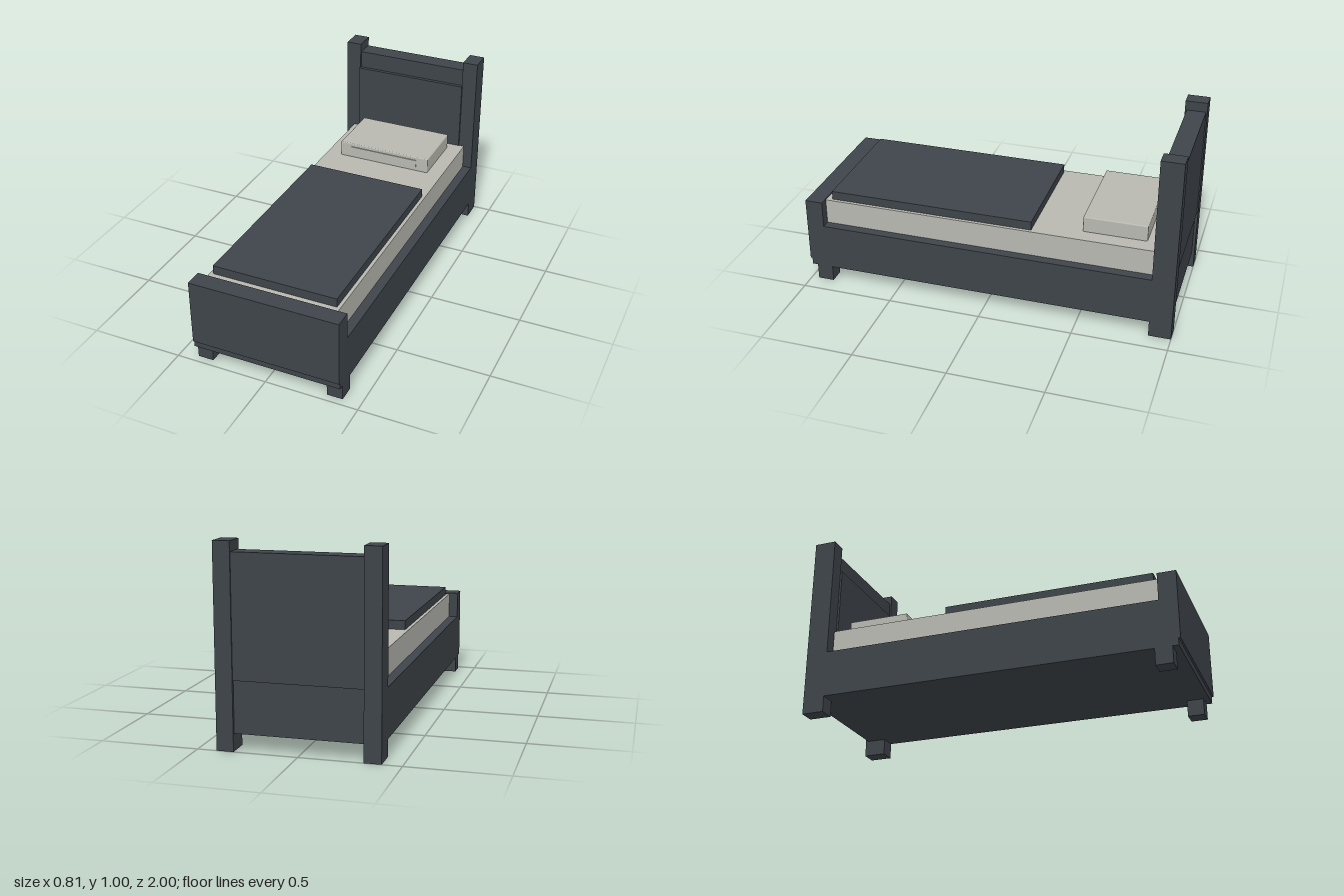
import * as THREE from 'three';
import { RoundedBoxGeometry } from 'three/addons/geometries/RoundedBoxGeometry.js';

export function createModel() {
  const bed = new THREE.Group();
  bed.name = 'bed';

  const darkWood = new THREE.MeshStandardMaterial({ color: 0x3e444a });
  darkWood.name = 'dark slate';
  const linen = new THREE.MeshStandardMaterial({ color: 0xb8b8b1 });
  linen.name = 'pale linen';

  const add = (name, geometry, material, x, y, z) => {
    const mesh = new THREE.Mesh(geometry, material);
    mesh.name = name;
    mesh.position.set(x, y, z);
    bed.add(mesh);
  };
  // Box given by its limits on each axis
  const box = (name, material, [x0, x1], [y0, y1], [z0, z1]) =>
    add(name, new THREE.BoxGeometry(x1 - x0, y1 - y0, z1 - z0), material,
      (x0 + x1) / 2, (y0 + y1) / 2, (z0 + z1) / 2);

  // Headboard posts and short front feet
  for (const [side, x] of [['left', [0.318, 0.403]], ['right', [-0.403, -0.318]]]) {
    box(side + 'HeadboardPost', darkWood, x, [0, 1.003], [-1, -0.882]);
    box(side + 'FrontFoot', darkWood, x, [0, 0.086], [0.873, 0.96]);
  }

  // Headboard: thick upper board, raised front panel and recessed lower rail
  box('headboard', darkWood, [-0.318, 0.318], [0.345, 0.952], [-0.993, -0.892]);
  box('headboardPanel', darkWood, [-0.321, 0.321], [0.335, 0.855], [-0.892, -0.871]);
  box('headboardLowerRail', darkWood, [-0.318, 0.318], [0.086, 0.345], [-0.985, -0.882]);

  // Frame and footboard
  box('bedFrame', darkWood, [-0.403, 0.403], [0.086, 0.336], [-0.882, 0.99]);
  box('footboard', darkWood, [-0.403, 0.403], [0.123, 0.48], [0.905, 1]);

  // Bedding
  box('mattress', linen, [-0.353, 0.353], [0.336, 0.474], [-0.875, 0.905]);
  box('blanket', darkWood, [-0.335, 0.335], [0.474, 0.521], [-0.235, 0.873]);

  // Pillow with a shallow raised strip on its front
  add('pillow', new RoundedBoxGeometry(0.536, 0.088, 0.336, 2, 0.006), linen, 0, 0.515, -0.658);
  box('pillowFrontStrip', linen, [-0.2, 0.2], [0.5, 0.54], [-0.491, -0.485]);

  return bed;
}
